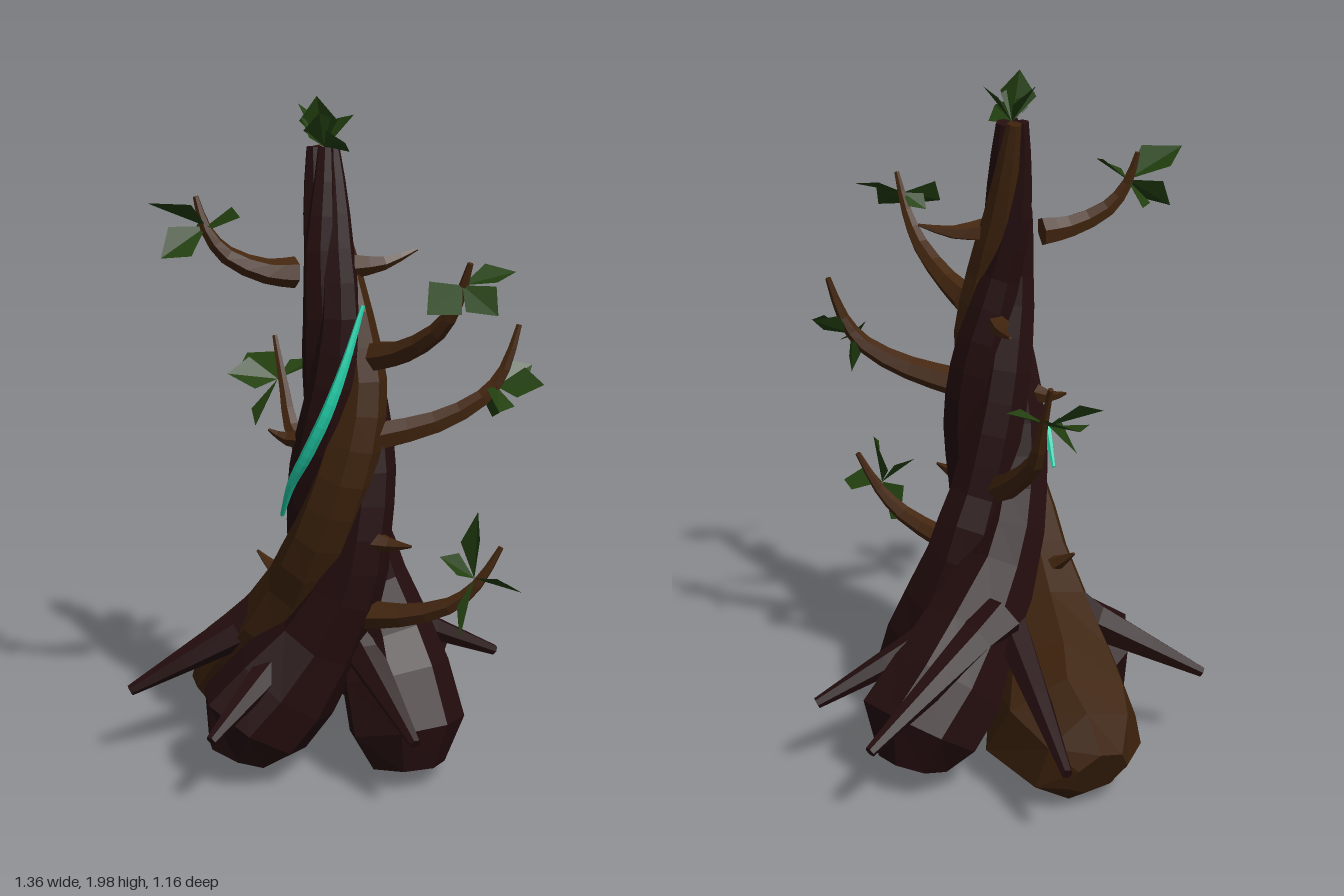
import * as THREE from 'three';

const V = (a) => new THREE.Vector3(...a);

// Low-poly tapered sweep: one ring per path point, closed at both ends, faceted normals
function sweep(points, radii, sides, ridge = 0) {
  const pos = [], idx = [], n = points.length;
  const normal = new THREE.Vector3();
  points.forEach((p, i) => {
    const t = points[Math.min(i + 1, n - 1)].clone().sub(points[Math.max(i - 1, 0)]).normalize();
    if (i === 0) normal.set(0, 0, 1).addScaledVector(t, -t.z);
    if (normal.lengthSq() < 0.05) normal.set(1, 0, 0);
    normal.addScaledVector(t, -normal.dot(t)).normalize();
    const side = t.clone().cross(normal);
    for (let j = 0; j < sides; j++) {
      const a = (j / sides) * Math.PI * 2;
      const r = radii[i] * (1 + ridge * Math.sin(j * 2.6 + 0.5));
      const q = p.clone().addScaledVector(normal, Math.cos(a) * r).addScaledVector(side, Math.sin(a) * r);
      pos.push(q.x, q.y, q.z);
    }
  });
  const at = (i, j) => i * sides + (j % sides);
  for (let i = 0; i < n - 1; i++)
    for (let j = 0; j < sides; j++)
      idx.push(at(i, j), at(i, j + 1), at(i + 1, j), at(i, j + 1), at(i + 1, j + 1), at(i + 1, j));
  const first = pos.length / 3;
  pos.push(...points[0].toArray(), ...points[n - 1].toArray());
  for (let j = 0; j < sides; j++)
    idx.push(first, at(0, j + 1), at(0, j), first + 1, at(n - 1, j), at(n - 1, j + 1));
  return faceted(pos, idx);
}

function faceted(pos, idx) {
  const g = new THREE.BufferGeometry();
  g.setAttribute('position', new THREE.Float32BufferAttribute(pos, 3));
  g.setIndex(idx);
  const flat = g.toNonIndexed();
  flat.computeVertexNormals();
  return flat;
}

// Smooth path through a few points with radius running from r0 to r1
function limb(pts, r0, r1, steps, sides) {
  const path = new THREE.CatmullRomCurve3(pts.map(V)).getPoints(steps);
  return sweep(path, path.map((_, i) => THREE.MathUtils.lerp(r0, r1, i / steps)), sides);
}

// Diamond leaf folded along its midrib
function leafGeometry(base, tip, roll) {
  const d = tip.clone().sub(base), len = d.length();
  d.normalize();
  const ref = Math.abs(d.y) > 0.85 ? new THREE.Vector3(0, 0, 1) : new THREE.Vector3(0, 1, 0);
  const side = d.clone().cross(ref).normalize().applyAxisAngle(d, roll);
  const up = side.clone().cross(d);
  const mid = base.clone().addScaledVector(d, len * 0.55).addScaledVector(up, len * 0.1);
  const l = mid.clone().addScaledVector(side, len * 0.38);
  const r = mid.clone().addScaledVector(side, -len * 0.38);
  return faceted([base, l, tip, r].flatMap((p) => p.toArray()), [0, 2, 1, 0, 3, 2]);
}

// Linear lookup in rows of [y, value, value, ...]
function lookup(rows, y) {
  let i = 0;
  while (i < rows.length - 2 && y > rows[i + 1][0]) i++;
  const k = (y - rows[i][0]) / (rows[i + 1][0] - rows[i][0]);
  return rows[i].map((v, c) => THREE.MathUtils.lerp(v, rows[i + 1][c], k));
}

export function createModel() {
  const tree = new THREE.Group();
  tree.name = 'twistedTree';
  const mat = (name, color, extra = {}) =>
    Object.assign(new THREE.MeshStandardMaterial({ color, ...extra }), { name });
  const darkBark = mat('darkBark', 0x240d0e);
  const brownBark = mat('brownBark', 0x3e230d);
  const branchWood = mat('branchWood', 0x43260f);
  const leafGreen = mat('leafGreen', 0x234010, { side: THREE.DoubleSide });
  const vineTeal = mat('vineTeal', 0x22d0aa);
  const add = (name, geometry, material, parent = tree) => {
    const mesh = new THREE.Mesh(geometry, material);
    mesh.name = name;
    parent.add(mesh);
  };

  // Trunk core by height: y, centre x, centre z, twist radius, strand radius
  const core = [
    [0.6, 0.025, 0.02, 0.1, 0.105],
    [0.8, 0.085, 0.055, 0.073, 0.085],
    [1.0, 0.115, 0.06, 0.065, 0.082],
    [1.2, 0.125, 0.06, 0.053, 0.075],
    [1.4, 0.12, 0.08, 0.04, 0.057],
    [1.6, 0.08, 0.085, 0.032, 0.045],
    [1.86, 0.035, 0.07, 0.025, 0.021],
  ];
  // Four strands wound round each other; feet are x, y, z, radius from the tip up
  const strands = [
    ['brownStrand', brownBark, 110, [[-0.545, 0.14, 0.02, 0.09], [-0.49, 0.17, 0.02, 0.165], [-0.34, 0.205, 0.025, 0.22], [-0.22, 0.33, 0.07, 0.18], [-0.1, 0.46, 0.1, 0.14]]],
    ['frontStrand', darkBark, 20, [[-0.06, 0.1, 0.3, 0.1], [-0.05, 0.2, 0.26, 0.175], [0.0, 0.31, 0.18, 0.165], [0.06, 0.45, 0.1, 0.13]]],
    ['rightStrand', darkBark, -70, [[0.22, 0.07, -0.09, 0.11], [0.2, 0.18, -0.1, 0.17], [0.14, 0.33, -0.1, 0.16], [0.1, 0.45, -0.1, 0.13]]],
    ['backStrand', darkBark, -160, [[-0.17, 0.1, -0.36, 0.1], [-0.16, 0.2, -0.33, 0.175], [-0.14, 0.3, -0.23, 0.17], [-0.1, 0.43, -0.12, 0.15]]],
  ];
  for (const [name, material, start, foot] of strands) {
    const pts = foot.map(([x, y, z]) => new THREE.Vector3(x, y, z));
    const radii = foot.map((f) => f[3]);
    for (let i = 0; i <= 14; i++) {
      const y = 0.6 + i * 0.09;
      const [, cx, cz, off, r] = lookup(core, y);
      const a = THREE.MathUtils.degToRad(start - (y - 0.6) * 215);
      pts.push(new THREE.Vector3(cx + Math.cos(a) * off, y, cz + Math.sin(a) * off));
      radii.push(r);
    }
    add(name, sweep(pts, radii, 7, 0.06), material);
  }

  // Spiky roots
  const roots = [
    [[-0.06, 0.48, -0.02], [-0.68, 0.25, -0.165]],
    [[-0.16, 0.46, 0.15], [-0.335, 0.25, 0.5]],
    [[0.0, 0.46, 0.12], [0.105, 0.25, 0.5]],
    [[-0.18, 0.5, -0.09], [-0.31, 0.25, -0.57]],
    [[-0.09, 0.5, -0.08], [0.03, 0.25, -0.57]],
    [[0.1, 0.44, 0.0], [0.45, 0.25, 0.05]],
  ];
  for (const [a, b] of roots) add('spikeRoot', limb([a, b], 0.078, 0.016, 3, 6), darkBark);

  // Curved branches: path, leaf base, leaf tips
  const branches = [
    [[[0.235, 1.31, 0.03], [0.33, 1.34, 0.02], [0.46, 1.42, 0], [0.53, 1.51, -0.01], [0.57, 1.62, -0.02]],
      [0.55, 1.56, -0.01], [[0.675, 1.5, -0.03], [0.59, 1.51, 0.135], [0.61, 1.59, -0.14], [0.48, 1.52, 0.03]]],
    [[[0.06, 1.53, 0.18], [0.04, 1.54, 0.26], [0, 1.59, 0.36], [-0.02, 1.66, 0.41], [-0.04, 1.75, 0.43]],
      [-0.02, 1.67, 0.41], [[-0.15, 1.62, 0.38], [0.1, 1.71, 0.38], [-0.03, 1.75, 0.585], [-0.06, 1.59, 0.53]]],
    [[[0.2, 1.07, -0.01], [0.29, 1.11, -0.13], [0.36, 1.18, -0.24], [0.39, 1.26, -0.29], [0.4, 1.38, -0.33]],
      [0.38, 1.21, -0.27], [[0.5, 1.23, -0.34], [0.34, 1.11, -0.29], [0.48, 1.17, -0.2], [0.4, 1.26, -0.38]]],
    [[[0.17, 0.54, 0.02], [0.28, 0.56, -0.03], [0.4, 0.61, -0.1], [0.46, 0.68, -0.15], [0.5, 0.79, -0.2]],
      [0.46, 0.7, -0.14], [[0.41, 0.87, -0.19], [0.58, 0.68, -0.21], [0.5, 0.55, -0.06], [0.42, 0.77, -0.05]]],
    [[[-0.03, 0.82, 0], [-0.14, 0.88, -0.02], [-0.27, 0.98, -0.03], [-0.32, 1.08, -0.04], [-0.385, 1.23, -0.05]],
      [-0.34, 1.11, -0.03], [[-0.52, 1.15, -0.04], [-0.28, 1.0, 0.09], [-0.38, 1.14, 0.12], [-0.32, 1.16, -0.15]]],
  ];
  let leafCount = 0;
  const addLeaves = (base, tips, parent) => {
    for (const tip of tips) add('leaf', leafGeometry(V(base), V(tip), 0.8 * Math.sin(++leafCount * 2.2)), leafGreen, parent);
  };
  for (const [path, base, tips] of branches) {
    const group = new THREE.Group();
    group.name = 'leafyBranch';
    add('branch', limb(path, 0.043, 0.008, 8, 6), branchWood, group);
    addLeaves(base, tips, group);
    tree.add(group);
  }

  // Short bare twigs
  const twigs = [
    [[0.07, 1.29, 0.04], [-0.02, 1.285, 0], [-0.13, 1.3, -0.03]],
    [[0.08, 1.06, 0.14], [0.02, 1.05, 0.18], [-0.03, 1.07, 0.21]],
    [[-0.08, 0.57, 0.08], [-0.15, 0.61, 0.12], [-0.2, 0.65, 0.14]],
    [[0.2, 0.77, 0.02], [0.26, 0.77, 0], [0.33, 0.78, -0.02]],
    [[0.12, 1.54, 0.04], [0.14, 1.54, -0.06], [0.16, 1.57, -0.16]],
  ];
  for (const path of twigs) add('twig', limb(path, 0.036, 0.004, 4, 5), branchWood);

  // Tuft of leaves on the crown
  addLeaves([0.04, 1.86, 0.07], [[0.05, 2.0, 0.1], [0.155, 1.885, 0.08], [-0.04, 1.97, 0.1],
    [0.11, 1.95, 0.02], [0.02, 1.94, 0.13], [0.09, 1.96, 0.12]], tree);

  // Teal vine climbing the trunk, thin at both ends
  const vine = new THREE.CatmullRomCurve3([[0.02, 0.83, 0.2], [0.085, 0.94, 0.212], [0.15, 1.04, 0.204],
    [0.203, 1.16, 0.178], [0.22, 1.29, 0.13], [0.21, 1.45, 0.06]].map(V)).getPoints(20);
  add('vine', sweep(vine, vine.map((_, i) => 0.006 + 0.012 * Math.sin((i / 20) * Math.PI)), 6), vineTeal);

  return tree;
}
